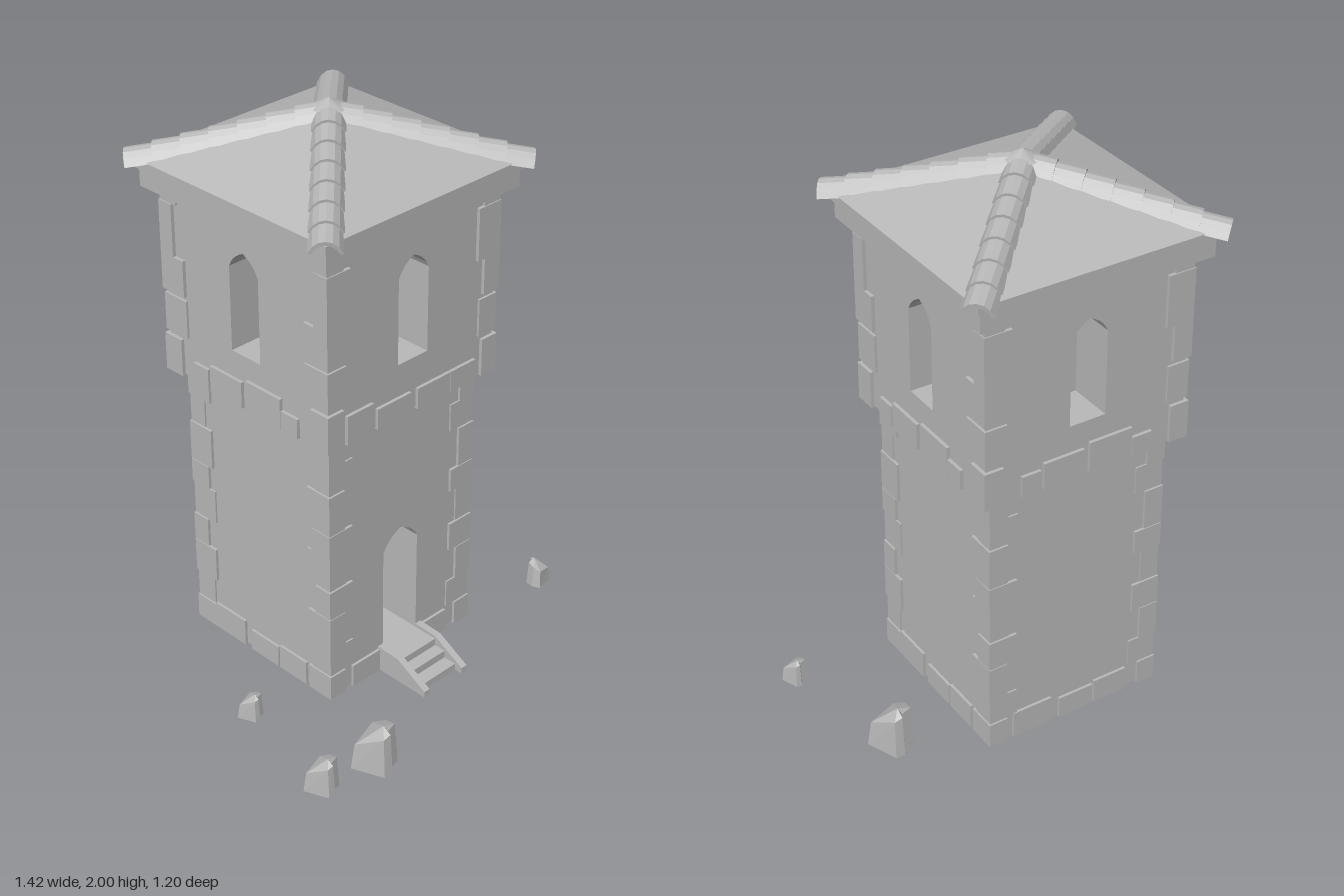
import * as THREE from 'three';

const stone = new THREE.MeshStandardMaterial({ color: 0xb8b8b8, side: THREE.DoubleSide });
stone.name = 'grey stone';

function add(parent, name, geometry, x = 0, y = 0, z = 0) {
  const mesh = new THREE.Mesh(geometry, stone);
  mesh.name = name;
  mesh.position.set(x, y, z);
  parent.add(mesh);
  return mesh;
}
const box = (parent, name, w, y0, y1, d, x = 0, z = 0) =>
  add(parent, name, new THREE.BoxGeometry(w, y1 - y0, d), x, (y0 + y1) / 2, z);

function group(parent, name) {
  const g = new THREE.Group();
  g.name = name;
  parent.add(g);
  return g;
}

// Wall slab with a pointed arch opening; its outer face lies at z = half
function wall(parent, name, w, y0, y1, half, t, arch) {
  const s = new THREE.Shape();
  s.moveTo(-w / 2, y0).lineTo(w / 2, y0).lineTo(w / 2, y1).lineTo(-w / 2, y1).closePath();
  const { r, bottom, shoulder, top } = arch;
  const bend = shoulder + (top - shoulder) * 0.65;
  const p = new THREE.Path();
  p.moveTo(-r, bottom).lineTo(r, bottom).lineTo(r, shoulder);
  p.quadraticCurveTo(r * 0.75, bend, 0, top);
  p.quadraticCurveTo(-r * 0.75, bend, -r, shoulder);
  p.closePath();
  s.holes.push(p);
  const geo = new THREE.ExtrudeGeometry(s, { depth: t, bevelEnabled: false, curveSegments: 5 });
  return add(parent, name, geo, 0, 0, half - t);
}

// Corner stones: rows of [bottom, top, long side, short side], swapping direction row by row
function quoins(parent, half, rows) {
  for (const sx of [-1, 1]) for (const sz of [-1, 1]) {
    rows.forEach(([y0, y1, a, b], i) => {
      const out = half - (i % 3 === 1 ? 0.004 : 0);
      const [w, d] = i % 2 ? [a, b] : [b, a];
      box(parent, 'cornerStone', w, y0, y1, d, sx * (out - w / 2), sz * (out - d / 2));
    });
  }
}

// Row of edge stones on all four sides: [centre, width, height]
function course(parent, half, y, sides) {
  sides.forEach((list, i) => {
    const side = group(parent, 'stoneCourse');
    side.rotation.y = i * Math.PI / 2;
    for (const [x, w, h] of list) box(side, 'edgeStone', w, y, y + h, 0.04, x, half - 0.02);
  });
}

function lowerTower(parent) {
  const g = group(parent, 'lowerTower');
  const H = 0.325, t = 0.2;
  wall(g, 'doorWall', 2 * H, 0.035, 1.05, H, t, { r: 0.08, bottom: 0.11, shoulder: 0.495, top: 0.565 });
  box(g, 'lowerBody', 2 * H, 0.035, 1.05, 2 * H - t, 0, -t / 2);
  const ys = [0.03, 0.125, 0.23, 0.36, 0.47, 0.6, 0.69, 0.84, 0.945, 1.04];
  quoins(g, 0.335, ys.slice(1).map((y, i) => [ys[i], y - 0.003, 0.105, i % 4 === 1 ? 0.085 : 0.07]));
  const sideStones = [[-0.165, 0.15, 0.1], [0.01, 0.135, 0.08], [0.15, 0.13, 0.09]];
  course(g, 0.335, 0.03, [
    [[-0.165, 0.13, 0.085], [0.165, 0.11, 0.085]],
    sideStones, sideStones, sideStones,
  ]);
}

function upperTower(parent) {
  const g = group(parent, 'upperTower');
  const H = 0.37, t = 0.16;
  for (let i = 0; i < 4; i++) {
    const side = group(g, 'windowSide');
    side.rotation.y = i * Math.PI / 2;
    const w = i % 2 ? 2 * (H - t) : 2 * H;
    wall(side, 'windowWall', w, 1.045, 1.72, H, t, { r: 0.066, bottom: 1.23, shoulder: 1.53, top: 1.595 });
  }
  box(g, 'upperCore', 2 * (H - t), 1.045, 1.72, 2 * (H - t));
  quoins(g, 0.382, [
    [1.04, 1.175, 0.08, 0.07], [1.19, 1.325, 0.08, 0.105],
    [1.34, 1.47, 0.105, 0.07], [1.47, 1.655, 0.1, 0.06], [1.655, 1.7, 0.075, 0.07],
  ]);
  const sideStones = [[-0.21, 0.07, 0.075], [-0.09, 0.15, 0.095], [0.085, 0.16, 0.11], [0.205, 0.075, 0.07]];
  course(g, 0.382, 1.04, [
    [[-0.24, 0.115, 0.105], [-0.09, 0.15, 0.075], [0.09, 0.15, 0.075], [0.225, 0.115, 0.075]],
    sideStones, sideStones, sideStones,
  ]);
}

function roof(parent) {
  const g = group(parent, 'roof');
  box(g, 'cornice', 0.84, 1.7, 1.768, 0.84);
  box(g, 'eaveSlab', 0.87, 1.768, 1.8, 0.87);
  const pyramid = new THREE.ConeGeometry(0.437 * Math.SQRT2, 0.165, 4, 1, false, Math.PI / 4).toNonIndexed();
  pyramid.computeVertexNormals();
  add(g, 'roofSlopes', pyramid, 0, 1.8825, 0);

  // Arched ridge tile, running down along +z
  const s = new THREE.Shape();
  s.moveTo(-0.054, -0.018).quadraticCurveTo(-0.035, 0.026, 0, 0.026).quadraticCurveTo(0.035, 0.026, 0.054, -0.018);
  s.lineTo(0.042, -0.018).quadraticCurveTo(0.028, 0.012, 0, 0.012).quadraticCurveTo(-0.028, 0.012, -0.042, -0.018);
  const tile = new THREE.ExtrudeGeometry(s, { depth: 0.098, bevelEnabled: false, curveSegments: 3 });
  const slope = Math.atan2(0.165, 0.618);
  for (let k = 0; k < 4; k++) {
    const ridge = group(g, 'ridge');
    ridge.rotation.y = Math.PI / 4 + k * Math.PI / 2;
    for (let i = 0; i < 7; i++) {
      const d = 0.005 + i * 0.089;
      const m = add(ridge, 'ridgeTile', tile, 0, 1.962 - d * Math.tan(slope), d);
      m.rotation.x = slope - 0.1;
    }
  }
  add(g, 'roofPeak', new THREE.ConeGeometry(0.06, 0.03, 8), 0, 1.985, 0);
}

function doorSteps(parent) {
  const g = group(parent, 'doorSteps');
  const steps = [[0.03, 0.055, 0.515], [0.055, 0.083, 0.465], [0.083, 0.11, 0.42]];
  for (const [y0, y1, z] of steps) box(g, 'step', 0.16, y0, y1, z - 0.3, 0, (z + 0.3) / 2);
  const s = new THREE.Shape();
  s.moveTo(0.3, 0.03).lineTo(0.545, 0.03).lineTo(0.545, 0.052).lineTo(0.42, 0.12).lineTo(0.3, 0.125).closePath();
  const rail = new THREE.ExtrudeGeometry(s, { depth: 0.025, bevelEnabled: false });
  rail.rotateY(-Math.PI / 2);
  for (const x of [-0.078, 0.104]) add(g, 'stepSide', rail, x, 0, 0);
}

// Upright boulder: notched base ring, slanted shoulder ring and a peak
function boulderGeometry() {
  const ring = [[-0.07, -0.045], [0.05, -0.068], [0.072, -0.02], [0.065, 0.035],
    [0.022, 0.042], [0.008, 0.068], [-0.025, 0.065]];
  const low = ring.map(([x, z]) => [x, 0, z]);
  const mid = ring.map(([x, z]) => [x * 0.84, 0.13 + 0.35 * z + 0.25 * x, z * 0.86]);
  const peak = [0.008, 0.172, 0.025], foot = [0, 0, 0];
  const v = [];
  ring.forEach((_, i) => {
    const j = (i + 1) % ring.length;
    v.push(low[i], mid[i], low[j], low[j], mid[i], mid[j], mid[i], peak, mid[j], low[i], low[j], foot);
  });
  const geo = new THREE.BufferGeometry();
  geo.setAttribute('position', new THREE.Float32BufferAttribute(v.flat(), 3));
  geo.computeVertexNormals();
  return geo;
}

export function createModel() {
  const model = new THREE.Group();
  model.name = 'watchtower';
  const tower = group(model, 'tower');
  tower.position.set(-0.026, 0, -0.116);
  lowerTower(tower);
  upperTower(tower);
  roof(tower);
  doorSteps(tower);

  // Scattered boulders: x, z, scale, turn
  const rock = boulderGeometry();
  for (const [x, z, s, turn] of [
    [-0.46, 0.53, 1, 0], [-0.66, 0.49, 0.75, 0], [-0.58, 0.065, 0.56, 0],
    [0.555, -0.235, 1, Math.PI], [0.672, 0.23, 0.56, Math.PI],
  ]) {
    const m = add(model, 'boulder', rock, x, 0, z);
    m.scale.setScalar(s);
    m.rotation.y = turn;
  }
  return model;
}
